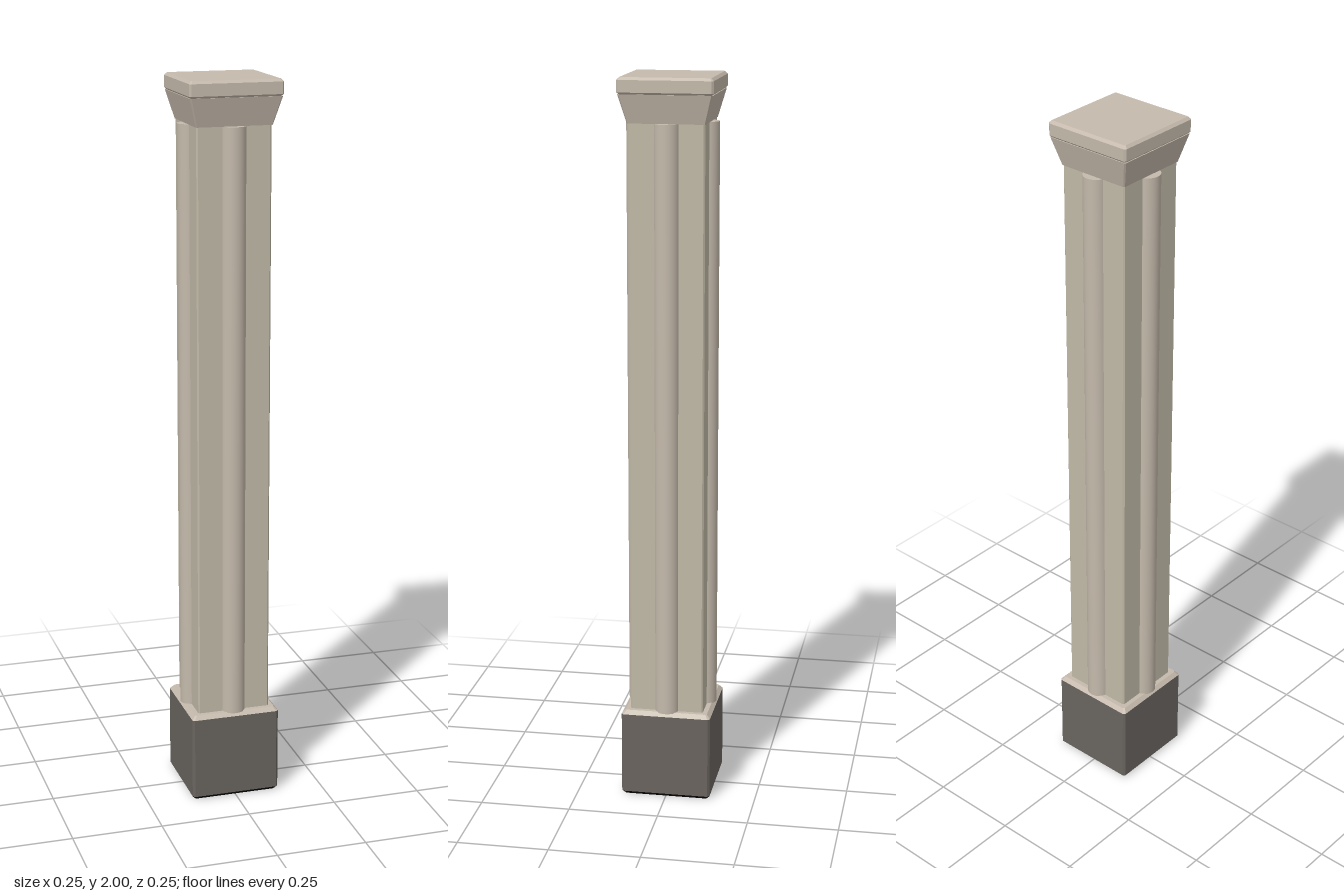
import * as THREE from 'three';

const material = (name, color) => {
  const m = new THREE.MeshStandardMaterial({ color });
  m.name = name;
  return m;
};

// Square ring with cut corners, counter-clockwise seen from above
function ring([y, half, cut]) {
  const points = [];
  for (let k = 0; k < 4; k++) {
    for (const s of [-1, 1]) {
      let x = s * (half - cut), z = half;
      for (let j = 0; j < k; j++) [x, z] = [z, -x];
      points.push([x, y, z]);
    }
  }
  return points;
}

// Flat-sided block through a stack of [y, half width, corner cut] sections
function block(sections) {
  const rings = sections.map(ring);
  const pos = [];
  const tri = (a, b, c) => pos.push(...a, ...b, ...c);
  for (let r = 0; r < rings.length - 1; r++) {
    for (let i = 0; i < 8; i++) {
      const j = (i + 1) % 8, lo = rings[r], hi = rings[r + 1];
      tri(lo[i], lo[j], hi[j]);
      tri(lo[i], hi[j], hi[i]);
    }
  }
  const bottom = rings[0], top = rings[rings.length - 1];
  for (let i = 0; i < 8; i++) {
    const j = (i + 1) % 8;
    tri([0, top[0][1], 0], top[i], top[j]);
    tri([0, bottom[0][1], 0], bottom[j], bottom[i]);
  }
  const g = new THREE.BufferGeometry();
  g.setAttribute('position', new THREE.Float32BufferAttribute(pos, 3));
  g.computeVertexNormals();
  return g;
}

export function createModel() {
  const column = new THREE.Group();
  column.name = 'column';
  const paleStone = material('paleStone', 0xc4b9ab);
  const shaftStone = material('shaftStone', 0xc0b9a6);
  const darkStone = material('darkStone', 0x69645f);
  const black = material('black', 0x050505);

  const add = (name, geometry, mat) => {
    const mesh = new THREE.Mesh(geometry, mat);
    mesh.name = name;
    column.add(mesh);
    return mesh;
  };

  // Plinth: black underside, dark block and pale bevelled top
  add('plinthUnderside', block([[0, 0.117, 0.004], [0.009, 0.125, 0.006]]), black);
  add('plinth', block([[0.009, 0.125, 0.006], [0.241, 0.125, 0.006]]), darkStone);
  add('plinthTop', block([[0.241, 0.125, 0.006], [0.252, 0.115, 0.004]]), paleStone);

  // Shaft core with narrow cut edges
  add('shaft', block([[0.25, 0.102, 0.004], [1.885, 0.102, 0.004]]), shaftStone);

  // One half-round rib on each side of the shaft
  const rib = new THREE.CylinderGeometry(0.034, 0.034, 1.63, 24, 1, false, -Math.PI / 2, Math.PI);
  rib.translate(0, 1.065, 0.091);
  for (let k = 0; k < 4; k++) {
    add('shaftRib', rib, paleStone).rotation.y = k * Math.PI / 2;
  }

  // Flared capital and bevelled top slab
  add('capital', block([[1.88, 0.104, 0.003], [1.956, 0.125, 0.004]]), paleStone);
  add('topSlab', block([
    [1.956, 0.122, 0.004], [1.961, 0.127, 0.005],
    [1.993, 0.127, 0.005], [2, 0.12, 0.003],
  ]), paleStone);

  return column;
}
